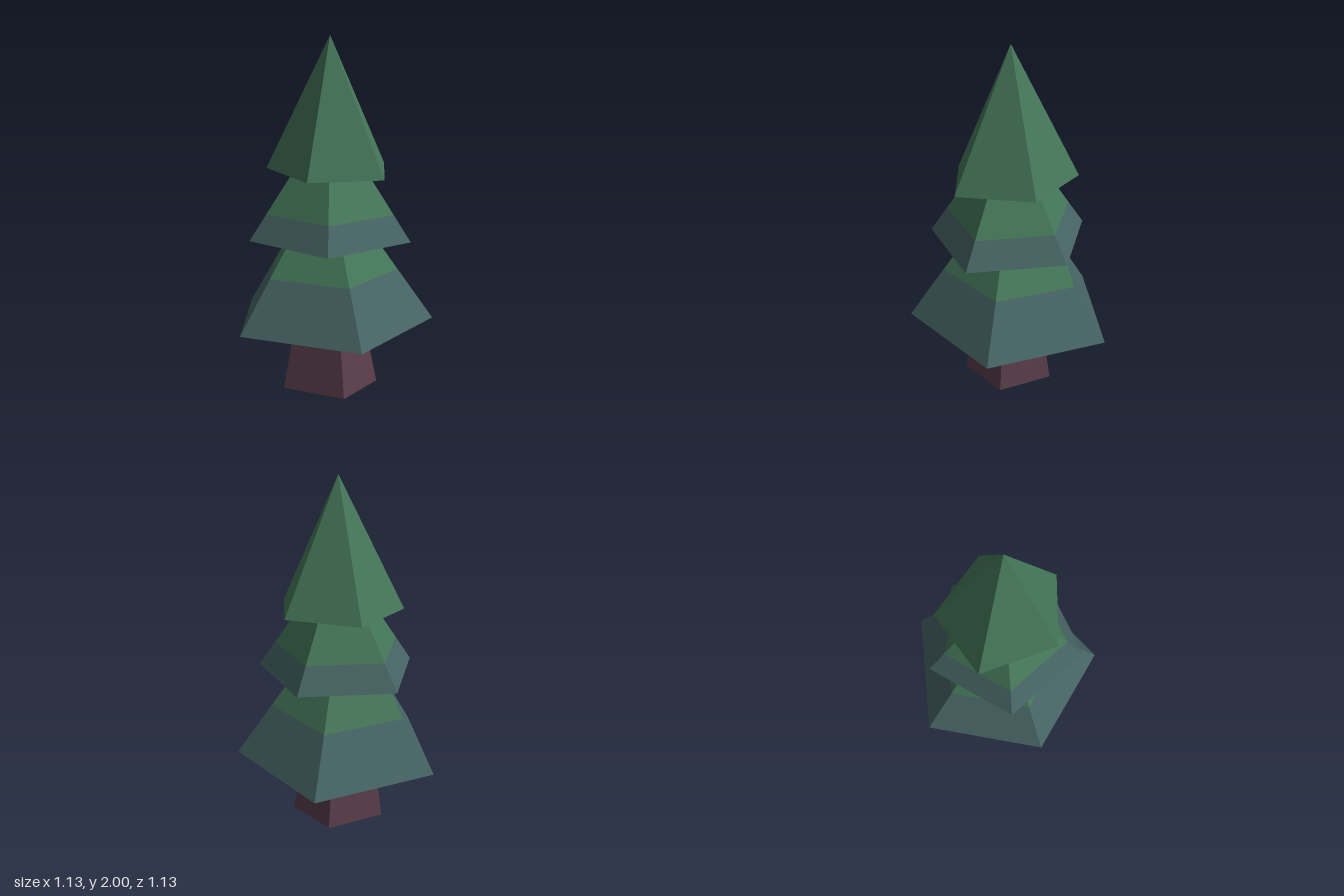
import * as THREE from 'three';

const mat = (name, color) => {
  const m = new THREE.MeshStandardMaterial({ color, flatShading: true });
  m.name = name;
  return m;
};

// Faceted band between a lower ring and an upper ring, with optional end caps.
// Rings run clockwise seen from above.
function band(name, lower, upper, material, capBottom, capTop) {
  const pos = [];
  const tri = (...pts) => pts.forEach((p) => pos.push(p.x, p.y, p.z));
  const n = lower.length;
  for (let i = 0; i < n; i++) {
    const j = (i + 1) % n;
    tri(lower[j], lower[i], upper[i]);
    if (upper[i].distanceTo(upper[j]) > 1e-5) tri(lower[j], upper[i], upper[j]);
    if (i > 0 && i < n - 1) {
      if (capBottom) tri(lower[0], lower[i], lower[j]);
      if (capTop) tri(upper[0], upper[j], upper[i]);
    }
  }
  const geo = new THREE.BufferGeometry();
  geo.setAttribute('position', new THREE.Float32BufferAttribute(pos, 3));
  geo.computeVertexNormals();
  const mesh = new THREE.Mesh(geo, material);
  mesh.name = name;
  return mesh;
}

const ring = (pts) => pts.map((p) => new THREE.Vector3(...p));
const toward = (pts, apex, t) => pts.map((p) => p.clone().lerp(apex, t));

export function createModel() {
  const green = mat('leaf green', 0x447658);
  const teal = mat('shaded teal', 0x466363);
  const bark = mat('plum bark', 0x593d49);
  const tree = new THREE.Group();
  tree.name = 'pineTree';

  // Tapered five-sided trunk, ending inside the lowest tier
  const foot = ring([[-0.255, 0, -0.06], [-0.05, 0, -0.235], [0.26, 0, -0.085], [0.21, 0, 0.235], [-0.105, 0, 0.285]]);
  const trunkTop = foot.map((p) => new THREE.Vector3(p.x * 0.65 + 0.005, 0.5, p.z * 0.65 + 0.005));
  tree.add(band('trunk', foot, trunkTop, bark, true, true));

  // Foliage tiers: skewed pyramids, "split" is where the lower colour ends
  const tiers = [
    {
      name: 'lowerFoliage', apex: [0.01, 1.26, 0.02], split: 0.337,
      base: [[-0.567, 0.4, -0.055], [-0.082, 0.375, -0.57], [0.565, 0.372, -0.245], [0.44, 0.397, 0.455], [-0.25, 0.4, 0.565]],
    },
    {
      name: 'middleFoliage', apex: [0.015, 1.58, 0.04], split: 0.21,
      base: [[-0.4, 0.886, -0.17], [0.083, 0.888, -0.422], [0.46, 0.89, -0.04], [0.235, 0.886, 0.455], [-0.312, 0.884, 0.373]],
    },
    {
      name: 'topFoliage', apex: [0.018, 2, 0.034], split: 0,
      base: [[-0.2, 1.262, -0.258], [0.215, 1.267, -0.283], [0.38, 1.27, 0.11], [0.06, 1.25, 0.412], [-0.292, 1.25, 0.19]],
    },
  ];
  for (const t of tiers) {
    const apex = new THREE.Vector3(...t.apex);
    const base = ring(t.base);
    const mid = toward(base, apex, t.split);
    const group = new THREE.Group();
    group.name = t.name;
    if (t.split > 0) group.add(band(t.name + 'Skirt', base, mid, teal, true, false));
    group.add(band(t.name + 'Crown', mid, toward(base, apex, 1), green, t.split === 0, false));
    tree.add(group);
  }
  return tree;
}
